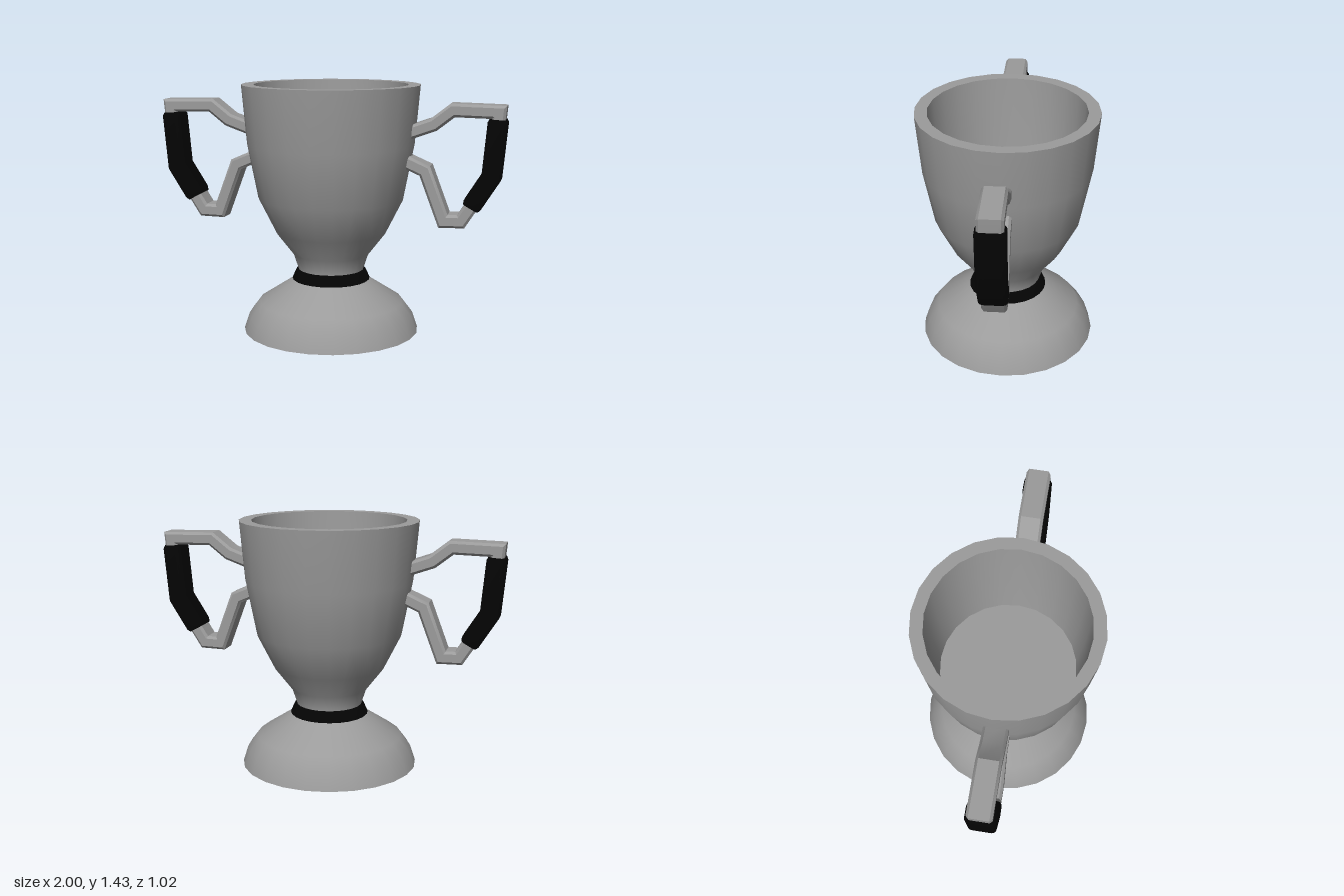
import * as THREE from 'three';
import { toCreasedNormals } from 'three/addons/utils/BufferGeometryUtils.js';

const metal = new THREE.MeshStandardMaterial({ color: 0x9b9b9b });
const rubber = new THREE.MeshStandardMaterial({ color: 0x040404 });

function part(name, geometry, material) {
  const mesh = new THREE.Mesh(toCreasedNormals(geometry, 0.6), material);
  mesh.name = name;
  return mesh;
}

const lathe = (profile) =>
  new THREE.LatheGeometry(profile.map(([r, y]) => new THREE.Vector2(r, y)), 24);

// Cross-section: a rectangle whose corners are cut in `steps` facets
function section(w, d, r, steps) {
  const pts = [];
  for (let c = 0; c < 4; c++) {
    const sx = c === 0 || c === 3 ? 1 : -1;
    const sy = c < 2 ? 1 : -1;
    for (let k = 0; k <= steps; k++) {
      const a = (c + k / steps) * Math.PI / 2;
      pts.push([sx * (w / 2 - r) + r * Math.cos(a), sy * (d / 2 - r) + r * Math.sin(a)]);
    }
  }
  return pts;
}

// Mitred sweep along [x, y, scale] points in the xy plane, capped at both ends
function sweep(path, profile) {
  const pos = [], idx = [], n = profile.length, last = path.length - 1;
  const dir = (a, b) => new THREE.Vector2(b[0] - a[0], b[1] - a[1]).normalize();
  path.forEach((p, i) => {
    const before = dir(path[Math.max(i - 1, 0)], path[Math.max(i, 1)]);
    const after = dir(path[Math.min(i, last - 1)], path[Math.min(i + 1, last)]);
    const t = before.clone().add(after).normalize();
    const miter = 1 / t.dot(after), s = p[2] ?? 1;
    for (const [u, v] of profile) {
      pos.push(p[0] - t.y * u * s * miter, p[1] + t.x * u * s * miter, v * s);
    }
  });
  for (let i = 0; i < last; i++) {
    for (let j = 0; j < n; j++) {
      const a = i * n + j, b = i * n + (j + 1) % n;
      idx.push(a, b, b + n, a, b + n, a + n);
    }
  }
  for (let j = 1; j < n - 1; j++) {
    idx.push(0, j + 1, j, last * n, last * n + j, last * n + j + 1);
  }
  const g = new THREE.BufferGeometry();
  g.setAttribute('position', new THREE.Float32BufferAttribute(pos, 3));
  g.setIndex(idx);
  return g;
}

export function createModel() {
  const model = new THREE.Group();
  model.name = 'trophyCup';

  // Domed foot with a flat underside
  model.add(part('foot', lathe([
    [0, 0], [0.51, 0], [0.48, 0.09], [0.42, 0.17], [0.22, 0.3], [0.17, 0.32],
  ]), metal));

  // Dark collar around the neck
  model.add(part('collar', lathe([
    [0.17, 0.296], [0.218, 0.296], [0.226, 0.303], [0.205, 0.352], [0.196, 0.36], [0.16, 0.36],
  ]), rubber));

  // Hollow bowl: outside, thick rim, inside wall and floor
  model.add(part('bowl', lathe([
    [0.19, 0.33], [0.19, 0.36], [0.22, 0.45], [0.32, 0.58], [0.42, 0.78], [0.48, 1.09], [0.51, 1.43],
    [0.44, 1.43], [0.42, 1.1], [0.39, 0.82], [0, 0.82],
  ]), metal));

  // Bent handles with padded grips, one on each side
  const bar = [
    [0.44, 1.165], [0.595, 1.22], [0.70, 1.302], [0.952, 1.296], [0.92, 0.94],
    [0.757, 0.684], [0.658, 0.682], [0.552, 0.962], [0.43, 1.015],
  ];
  const grip = [
    [0.945, 1.256, 0.86], [0.944, 1.238], [0.918, 0.94], [0.818, 0.78], [0.808, 0.762, 0.86],
  ];
  for (const side of [1, -1]) {
    const flip = (path) => path.map(([x, y, s]) => [x * side, y, s]);
    const handle = new THREE.Group();
    handle.name = side > 0 ? 'leftHandle' : 'rightHandle';
    handle.position.z = 0.013;
    handle.add(part('handleBar', sweep(flip(bar), section(0.074, 0.135, 0.014, 1)), metal));
    handle.add(part('handleGrip', sweep(flip(grip), section(0.108, 0.157, 0.025, 3)), rubber));
    model.add(handle);
  }
  return model;
}
